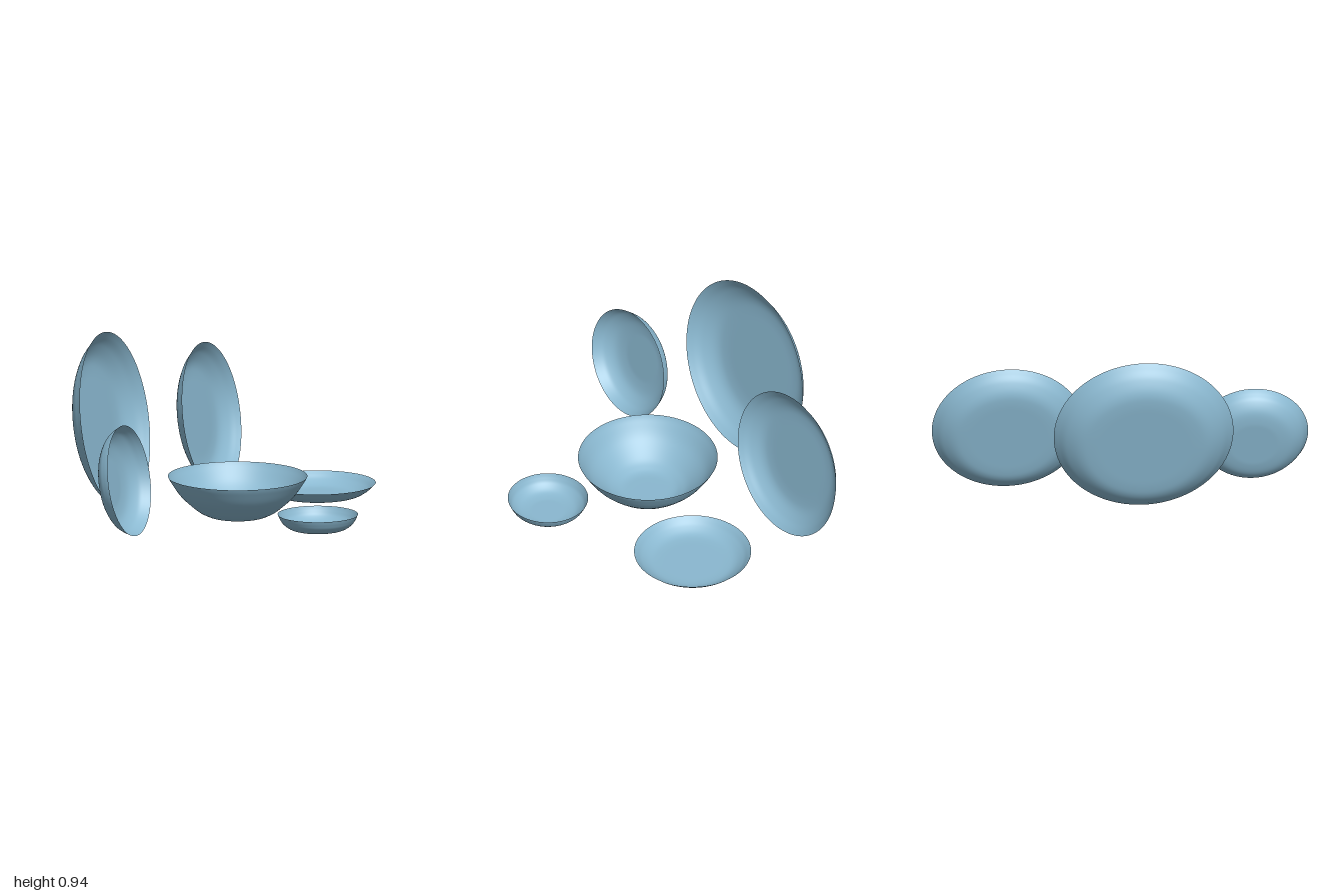
import * as THREE from 'three';

// Unit profiles (radius, height): floor at 0, rim at radius 1, height 1
const plateProfile = [[0, 0], [0.3, 0], [0.58, 0.01], [0.73, 0.12], [0.865, 0.45], [0.95, 0.79], [1, 1]];
const dishProfile = [[0, 0], [0.25, 0], [0.48, 0.01], [0.7, 0.13], [0.87, 0.43], [0.95, 0.73], [1, 1]];
const bowlProfile = [[0, 0], [0.2, 0], [0.36, 0.01], [0.47, 0.07], [0.6, 0.2], [0.81, 0.52], [0.95, 0.85], [1, 1]];

const glaze = new THREE.MeshStandardMaterial({ color: 0x8ab8d0, side: THREE.DoubleSide });
glaze.name = 'blue glaze';

// Thin turned shell whose rim centre lies at the mesh origin
function turnedShell(name, profile, radius, depth, rimCentre, tilt = 0) {
  const curve = new THREE.SplineCurve(profile.map(([r, h]) => new THREE.Vector2(r, h)));
  const points = curve.getPoints(42).map(
    (p) => new THREE.Vector2(Math.max(0, p.x) * radius, (Math.max(0, p.y) - 1) * depth)
  );
  const mesh = new THREE.Mesh(new THREE.LatheGeometry(points, 96), glaze);
  mesh.name = name;
  mesh.position.set(...rimCentre);
  mesh.rotation.z = -THREE.MathUtils.degToRad(tilt);
  return mesh;
}

export function createModel() {
  const model = new THREE.Group();
  model.name = 'tableware set';

  // Pieces lying flat
  model.add(
    turnedShell('servingBowl', bowlProfile, 0.37, 0.22, [0.05, 0.225, 0.075]),
    turnedShell('sidePlate', plateProfile, 0.31, 0.07, [0.26, 0.08, -0.56]),
    turnedShell('smallDish', dishProfile, 0.213, 0.087, [0.577, 0.096, 0.265])
  );

  // Pieces standing on edge, leaning back towards -x
  const backPlate = turnedShell('standingMediumPlate', plateProfile, 0.403, 0.088, [-0.352, 0.388, -0.597], 80);
  backPlate.scale.x = 0.975;
  model.add(
    turnedShell('standingLargePlate', plateProfile, 0.477, 0.112, [-0.633, 0.475, 0.105], 80),
    backPlate,
    turnedShell('standingDish', dishProfile, 0.295, 0.105, [-0.324, 0.295, 0.705], 80)
  );
  return model;
}
